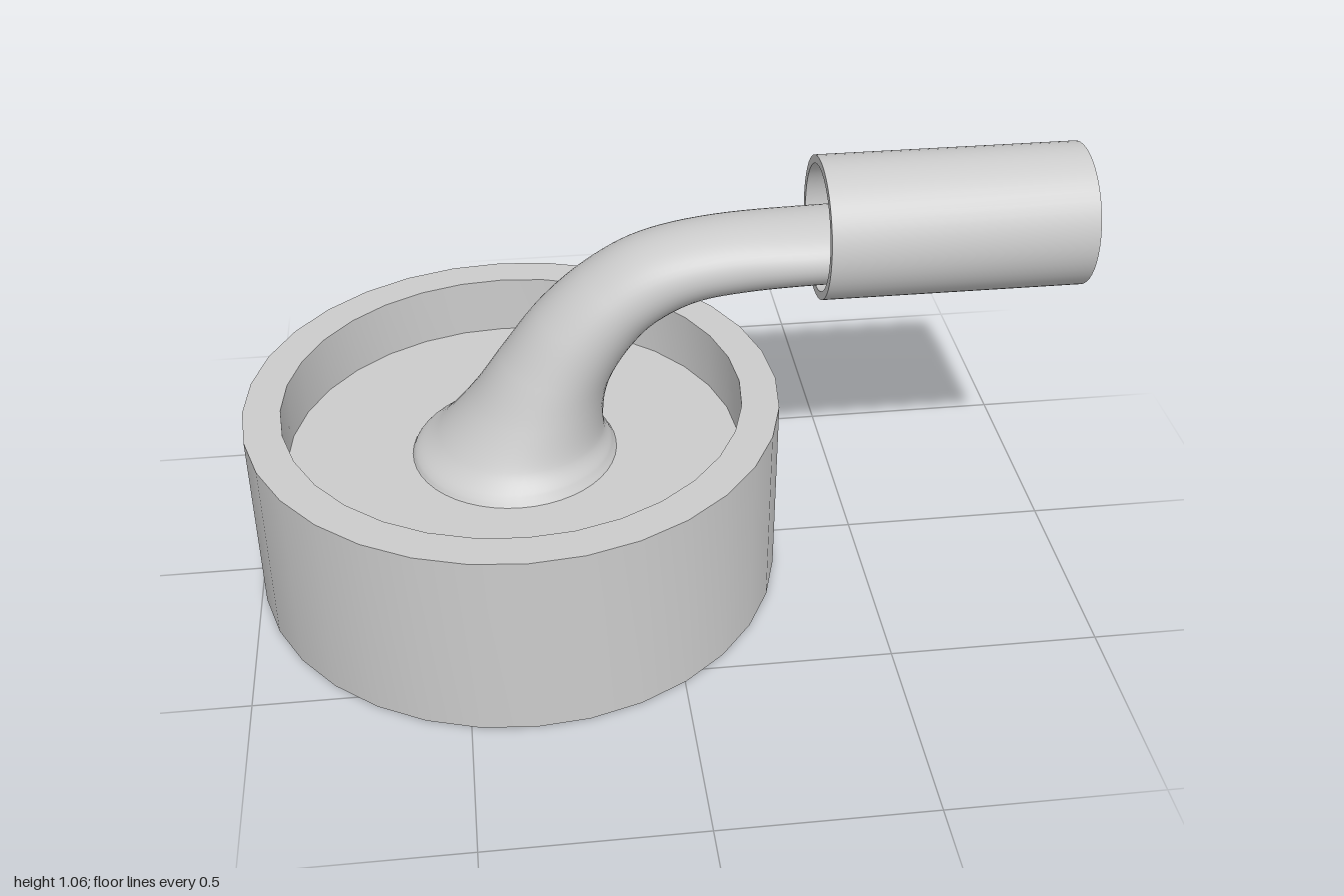
import * as THREE from 'three';
import { toCreasedNormals } from 'three/addons/utils/BufferGeometryUtils.js';
import { ParametricGeometry } from 'three/addons/geometries/ParametricGeometry.js';

const material = new THREE.MeshStandardMaterial({ color: 0xcccccc, side: THREE.DoubleSide });

// Revolved solid with crisp rims and smooth sides
function turned(name, profile, segments) {
  const points = profile.map(([r, y]) => new THREE.Vector2(r, y));
  const geometry = toCreasedNormals(new THREE.LatheGeometry(points, segments), 0.6);
  const mesh = new THREE.Mesh(geometry, material);
  mesh.name = name;
  return mesh;
}

export function createModel() {
  const group = new THREE.Group();
  group.name = 'dishWithBentNeck';

  // Round base with a recessed floor
  const floor = 0.323;
  const base = turned('base', [
    [0, 0], [0.645, 0], [0.645, 0.475], [0.555, 0.475], [0.555, floor], [0, floor],
  ], 32);
  base.position.x = -0.355;
  group.add(base);

  // Flared neck: [upper x, upper y, lower x, lower y, half width] per section
  const sections = [
    [-0.605, floor, -0.105, floor, 0.25],
    [-0.592, 0.342, -0.115, 0.342, 0.236],
    [-0.54, 0.385, -0.135, 0.39, 0.2],
    [-0.46, 0.475, -0.132, 0.475, 0.17],
    [-0.38, 0.59, -0.11, 0.55, 0.15],
    [-0.29, 0.71, -0.06, 0.63, 0.137],
    [-0.18, 0.81, 0, 0.69, 0.128],
    [-0.05, 0.882, 0.09, 0.735, 0.123],
    [0.13, 0.918, 0.2, 0.753, 0.123],
    [0.375, 0.925, 0.375, 0.765, 0.13],
    [0.65, 0.925, 0.65, 0.765, 0.13],
    [0.95, 0.925, 0.95, 0.765, 0.13],
  ];
  const curve = (pick) => new THREE.CatmullRomCurve3(sections.map(pick), false, 'catmullrom');
  const upper = curve((s) => new THREE.Vector3(s[0], s[1], 0));
  const lower = curve((s) => new THREE.Vector3(s[2], s[3], s[4])); // z carries the half width
  const neck = new THREE.Mesh(new ParametricGeometry((u, v, target) => {
    const a = v * Math.PI * 2;
    const top = upper.getPoint(u);
    const bottom = lower.getPoint(u);
    const halfWidth = bottom.z;
    bottom.z = 0;
    target.lerpVectors(bottom, top, 0.5 + 0.5 * Math.cos(a));
    target.z = -halfWidth * Math.sin(a);
  }, 66, 48), material);
  neck.name = 'neck';
  group.add(neck);

  // Hollow sleeve over the end of the neck, closed at the far end
  const sleeve = turned('sleeve', [
    [0, 0.575], [0.15, 0.575], [0.15, 0], [0.17, 0], [0.17, 0.625], [0, 0.625],
  ], 48);
  sleeve.rotation.z = -Math.PI / 2;
  sleeve.position.set(0.375, 0.89, 0);
  group.add(sleeve);

  return group;
}
